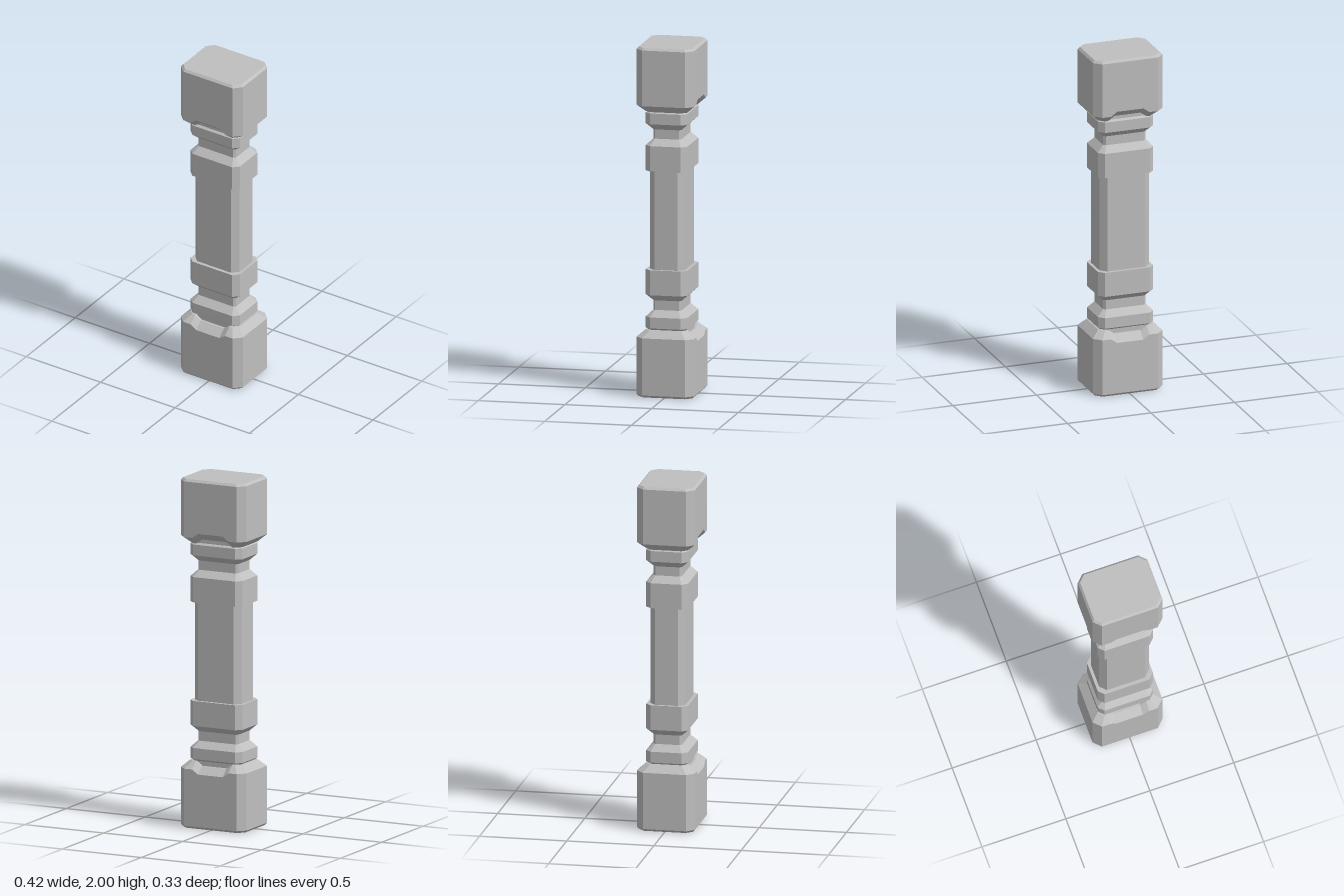
import * as THREE from 'three';

// Rectangle with cut corners, counter-clockwise from above.
// The front and back edges carry extra points for the notch, shifted by dip.
function section([y, hx, hz, c, dip = 0]) {
  const xs = [hx - c, 0.115, 0.078, -0.078, -0.115, c - hx];
  const shift = [0, 0, dip, dip, 0, 0];
  const back = xs.map((x, i) => [x, y + shift[i], -hz]);
  const front = back.map(([x, py]) => [-x, py, hz]);
  return [
    [hx, y, hz - c], [hx, y, c - hz], ...back,
    [-hx, y, c - hz], [-hx, y, hz - c], ...front,
  ];
}

// Plain eight-sided section
function plainSection([y, hx, hz, c]) {
  return [
    [hx, y, hz - c], [hx, y, c - hz], [hx - c, y, -hz], [c - hx, y, -hz],
    [-hx, y, c - hz], [-hx, y, hz - c], [c - hx, y, hz], [hx - c, y, hz],
  ];
}

// Skin rows (bottom to top) and close both ends; flat faces
function loft(name, rows, material, makeSection = plainSection) {
  const rings = rows.map(makeSection);
  const n = rings[0].length;
  const pos = [];
  const tri = (...pts) => pts.forEach((p) => pos.push(...p));
  for (let r = 0; r < rings.length - 1; r++) {
    for (let i = 0; i < n; i++) {
      const j = (i + 1) % n;
      const [a, b, c, d] = [rings[r][i], rings[r][j], rings[r + 1][j], rings[r + 1][i]];
      tri(a, b, c);
      tri(a, c, d);
    }
  }
  const last = rings.length - 1;
  for (let i = 0; i < n; i++) {
    const j = (i + 1) % n;
    tri([0, rows[0][0], 0], rings[0][j], rings[0][i]);
    tri([0, rows[last][0], 0], rings[last][i], rings[last][j]);
  }
  const geo = new THREE.BufferGeometry();
  geo.setAttribute('position', new THREE.Float32BufferAttribute(pos, 3));
  geo.computeVertexNormals();
  const mesh = new THREE.Mesh(geo, material);
  mesh.name = name;
  return mesh;
}

export function createModel() {
  const group = new THREE.Group();
  group.name = 'baluster';
  const stone = new THREE.MeshStandardMaterial({ color: 0xbfbfbf });
  stone.name = 'grey stone';

  // Rows: y, half width, half depth, corner cut, notch shift
  const baseRows = [
    [0, 0.196, 0.154, 0.036],
    [0.013, 0.208, 0.166, 0.042],
    [0.34, 0.208, 0.166, 0.042, -0.026],
    [0.38, 0.165, 0.12, 0.03, -0.026],
    [0.38, 0.14, 0.095, 0.02, -0.026],
  ];
  // The end blocks mirror each other
  const mirror = (rows) => rows.map(([y, hx, hz, c, dip = 0]) => [2 - y, hx, hz, c, -dip]).reverse();
  const capRows = mirror(baseRows).map(([y, ...rest]) => [y < 1.9 ? y + 0.008 : y, ...rest]);
  group.add(loft('baseBlock', baseRows, stone, section));
  group.add(loft('topBlock', capRows, stone, section));

  // Lower collar, neck and band
  group.add(loft('lowerTurning', [
    [0.3, 0.153, 0.108, 0.026],
    [0.38, 0.153, 0.108, 0.026],
    [0.39, 0.165, 0.12, 0.031],
    [0.453, 0.165, 0.12, 0.031],
    [0.49, 0.127, 0.081, 0.012],
    [0.545, 0.127, 0.081, 0.012],
    [0.58, 0.165, 0.12, 0.031],
    [0.723, 0.165, 0.12, 0.031],
  ], stone));

  // Plain shaft with wide corner cuts
  group.add(loft('shaft', [
    [0.7, 0.148, 0.101, 0.035],
    [1.31, 0.148, 0.101, 0.035],
  ], stone));

  // Upper band, neck and collar
  group.add(loft('upperTurning', [
    [1.288, 0.165, 0.12, 0.031],
    [1.433, 0.165, 0.12, 0.031],
    [1.47, 0.127, 0.081, 0.012],
    [1.523, 0.127, 0.081, 0.012],
    [1.558, 0.165, 0.12, 0.031],
    [1.62, 0.165, 0.12, 0.031],
    [1.63, 0.153, 0.108, 0.026],
    [1.71, 0.153, 0.108, 0.026],
  ], stone));

  return group;
}
